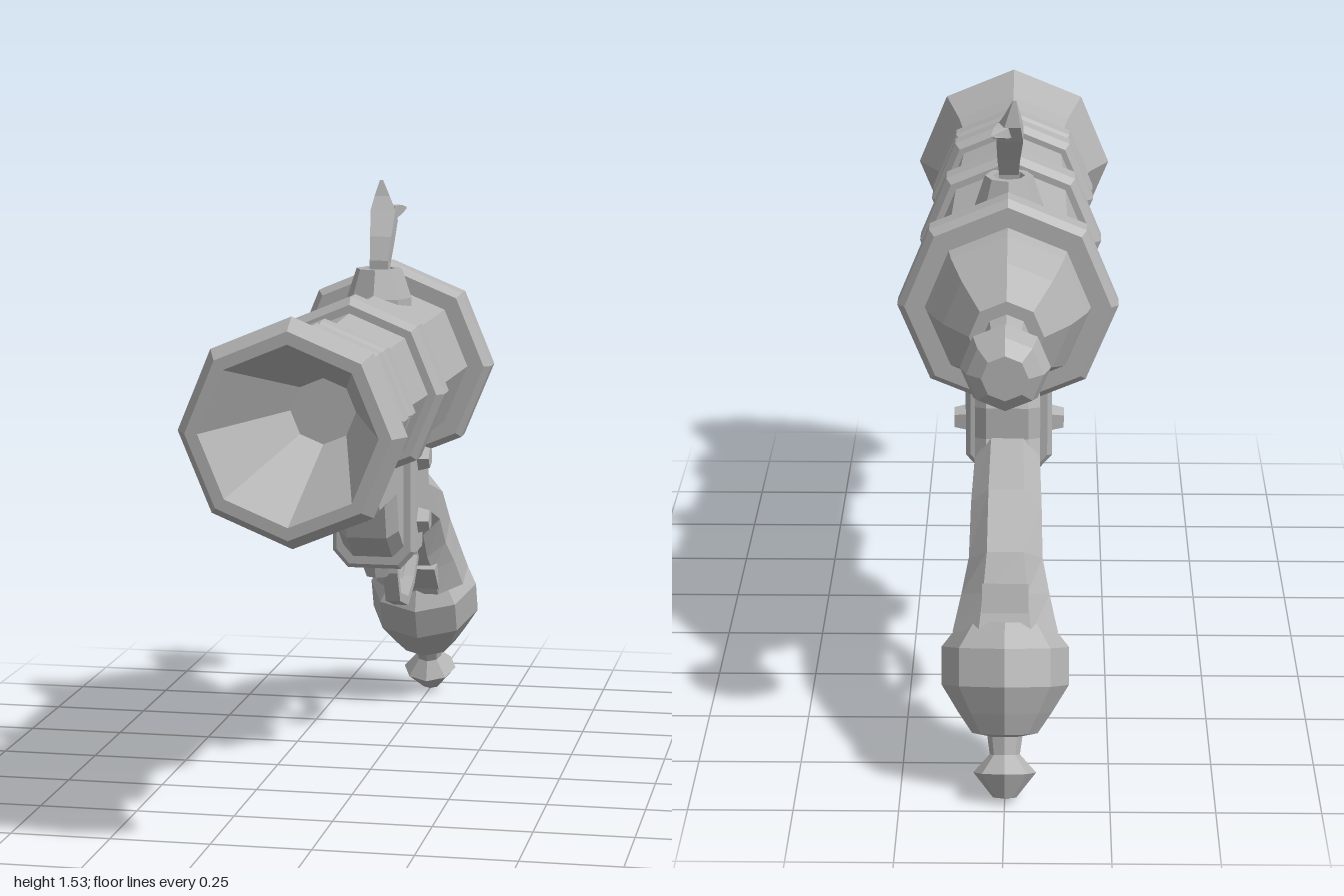
import * as THREE from 'three';

const metal = new THREE.MeshStandardMaterial({ color: 0xb4b4b4, flatShading: true });
metal.name = 'plain grey';

const AXIS_Y = 1.04; // height of the barrel axis

function add(parent, name, geometry) {
  const mesh = new THREE.Mesh(geometry, metal);
  mesh.name = name;
  parent.add(mesh);
  return mesh;
}

// Turned part from [radius, height] pairs
function turned(points, sides = 8) {
  return new THREE.LatheGeometry(points.map(([r, h]) => new THREE.Vector2(r, h)), sides);
}

// Turned part lying along the barrel axis, from [radius, z] pairs
function alongBarrel(points, sides = 8) {
  return turned(points, sides).rotateX(Math.PI / 2).translate(0, AXIS_Y, 0);
}

// Side outline of [z, y] points given a width across x, with chamfered rims
function plate(points, width, bevel = 0) {
  const shape = new THREE.Shape(points.map(([z, y]) => new THREE.Vector2(z, y)));
  const depth = width - 2 * bevel;
  return new THREE.ExtrudeGeometry(shape, {
    depth, bevelEnabled: bevel > 0, bevelThickness: bevel, bevelSize: bevel,
    bevelOffset: -bevel, bevelSegments: 1,
  }).translate(0, 0, -depth / 2).rotateY(-Math.PI / 2);
}

// Skin over sections [z1, y1, z2, y2, halfWidth, xShift]; point 1 is the side named "up"
function loft(sections, pattern) {
  const n = pattern.length, pos = [], idx = [];
  for (const [z1, y1, z2, y2, w, shift = 0] of sections) {
    for (const [px, pv] of pattern) {
      pos.push(shift + px * w, (y1 + y2) / 2 + pv * (y1 - y2) / 2, (z1 + z2) / 2 + pv * (z1 - z2) / 2);
    }
  }
  const last = (sections.length - 1) * n;
  for (let s = 0; s < last; s += n) {
    for (let k = 0; k < n; k++) {
      const a = s + k, b = s + (k + 1) % n;
      idx.push(a, a + n, b, b, a + n, b + n);
    }
  }
  for (let k = 1; k < n - 1; k++) idx.push(0, k, k + 1, last, last + k + 1, last + k);
  const geometry = new THREE.BufferGeometry();
  geometry.setAttribute('position', new THREE.Float32BufferAttribute(pos, 3));
  geometry.setIndex(idx);
  geometry.computeVertexNormals();
  return geometry;
}

const OCTAGON = [[1, -0.45], [1, 0.45], [0.5, 1], [-0.5, 1], [-1, 0.45], [-1, -0.45], [-0.5, -1], [0.5, -1]];
const SQUARE = [[1, -1], [1, 1], [-1, 1], [-1, -1]];

function buildBarrel() {
  const barrel = new THREE.Group();
  barrel.name = 'barrel';

  // Rounded breech, tapering tube, flared muzzle and funnel bore
  add(barrel, 'barrelTube', alongBarrel([
    [0, -0.575], [0.09, -0.575], [0.155, -0.48], [0.195, -0.39], [0.212, -0.31],
    [0.2, 0.23], [0.185, 0.6], [0.183, 0.73], [0.215, 0.85], [0.268, 0.95],
    [0.24, 1], [0.21, 1], [0.08, 0.6], [0, 0.6],
  ]));

  // Raised bands
  const bands = [[-0.35, -0.26, 0.272], [0.18, 0.28, 0.237], [0.56, 0.645, 0.22], [0.65, 0.735, 0.22]];
  for (const [z0, z1, r] of bands) {
    const c = 0.018;
    add(barrel, 'band', alongBarrel([
      [0.15, z0], [r - c, z0], [r, z0 + c], [r, z1 - c], [r - c, z1], [0.15, z1],
    ]));
  }

  // Knob behind the breech
  add(barrel, 'rearKnob', alongBarrel([
    [0, -0.865], [0.055, -0.865], [0.09, -0.835], [0.106, -0.785],
    [0.085, -0.735], [0.058, -0.71], [0.047, -0.67], [0.06, -0.55],
  ]));
  return barrel;
}

function buildFuse() {
  const fuse = new THREE.Group();
  fuse.name = 'fuse';
  const socket = add(fuse, 'fuseSocket', turned([
    [0.085, 1.19], [0.085, 1.235], [0.06, 1.31], [0.04, 1.31], [0.034, 1.26], [0, 1.26],
  ]));
  socket.position.z = -0.123;

  // Bent cord that splits into two points
  add(fuse, 'fuseCord', loft([
    [-0.115, 1.25, -0.15, 1.25, 0.024],
    [-0.115, 1.33, -0.155, 1.32, 0.024],
    [-0.14, 1.39, -0.18, 1.365, 0.028],
    [-0.19, 1.455, -0.225, 1.425, 0.033, -0.003],
    [-0.215, 1.49, -0.245, 1.465, 0.02, -0.01],
    [-0.229, 1.53, -0.235, 1.53, 0.004, -0.015],
  ], SQUARE));
  add(fuse, 'fuseFray', loft([
    [-0.2, 1.465, -0.205, 1.43, 0.022, 0.005],
    [-0.245, 1.465, -0.25, 1.44, 0.018, 0.018],
    [-0.285, 1.457, -0.287, 1.452, 0.004, 0.038],
  ], SQUARE));
  return fuse;
}

function buildFrame() {
  const frame = new THREE.Group();
  frame.name = 'frame';
  add(frame, 'frameBody', plate([
    [0.37, 0.9], [0.41, 0.85], [0.41, 0.82], [0.305, 0.72], [0.08, 0.72], [0.055, 0.63],
    [-0.03, 0.565], [-0.47, 0.565], [-0.47, 0.68], [-0.445, 0.73], [-0.445, 0.81], [-0.4, 0.9],
  ], 0.16, 0.028));

  // Strap wrapped under the frame
  const strap = new THREE.Shape([
    [-0.11, 0.89], [-0.11, 0.575], [-0.07, 0.53], [0.07, 0.53], [0.11, 0.575], [0.11, 0.89],
  ].map(([x, y]) => new THREE.Vector2(x, y)));
  add(frame, 'strap', new THREE.ExtrudeGeometry(strap, {
    depth: 0.1, bevelThickness: 0.012, bevelSize: 0.012, bevelOffset: -0.012, bevelSegments: 1,
  }).translate(0, 0, -0.152));

  // Five-sided bolts on both sides and underneath
  for (const side of [-1, 1]) {
    for (const y of [0.82, 0.655]) {
      const bolt = add(frame, 'bolt', new THREE.CylinderGeometry(0.028, 0.038, 0.04, 5));
      bolt.rotation.z = -side * Math.PI / 2;
      bolt.position.set(side * 0.12, y, -0.1);
    }
  }
  const lowerBolt = add(frame, 'lowerBolt', new THREE.CylinderGeometry(0.045, 0.03, 0.04, 6));
  lowerBolt.position.set(0, 0.52, -0.1);

  // Trigger and its guard
  add(frame, 'trigger', plate([
    [-0.385, 0.58], [-0.42, 0.5], [-0.41, 0.465], [-0.39, 0.435],
    [-0.425, 0.46], [-0.45, 0.5], [-0.445, 0.58],
  ], 0.03));
  add(frame, 'triggerGuard', plate([
    [-0.2, 0.58], [-0.28, 0.535], [-0.28, 0.47], [-0.325, 0.385], [-0.45, 0.348], [-0.55, 0.39],
    [-0.615, 0.45], [-0.61, 0.53], [-0.585, 0.53], [-0.59, 0.462], [-0.54, 0.412],
    [-0.45, 0.373], [-0.34, 0.405], [-0.303, 0.475], [-0.31, 0.545], [-0.33, 0.58],
  ], 0.04));
  return frame;
}

function buildGrip() {
  const grip = new THREE.Group();
  grip.name = 'grip';
  // Curved handle widening toward the butt
  add(grip, 'handle', loft([
    [-0.4, 0.74, -0.4, 0.57, 0.075],
    [-0.46, 0.73, -0.46, 0.565, 0.08],
    [-0.65, 0.68, -0.555, 0.525, 0.085],
    [-0.785, 0.575, -0.615, 0.45, 0.088],
    [-0.835, 0.49, -0.655, 0.405, 0.105],
    [-0.88, 0.41, -0.69, 0.33, 0.125],
  ], OCTAGON));

  // Torn lips of the butt sleeve
  add(grip, 'frontLip', plate([[-0.61, 0.417], [-0.7, 0.33], [-0.69, 0.43]], 0.13));
  add(grip, 'rearLip', plate([[-0.835, 0.515], [-0.77, 0.46], [-0.87, 0.415]], 0.11));

  // Bulb with small end knob, leaning backward
  const butt = add(grip, 'butt', turned([
    [0, 0.03], [0.105, 0.04], [0.152, 0.1], [0.152, 0.19], [0.112, 0.255], [0.078, 0.305],
    [0.042, 0.312], [0.036, 0.355], [0.075, 0.398], [0.028, 0.457], [0, 0.46],
  ]));
  butt.rotation.x = Math.atan2(-0.39, -0.92);
  butt.position.set(0, 0.432, -0.77);
  return grip;
}

export function createModel() {
  const model = new THREE.Group();
  model.name = 'handCannon';
  model.add(buildBarrel(), buildFuse(), buildFrame(), buildGrip());
  return model;
}
